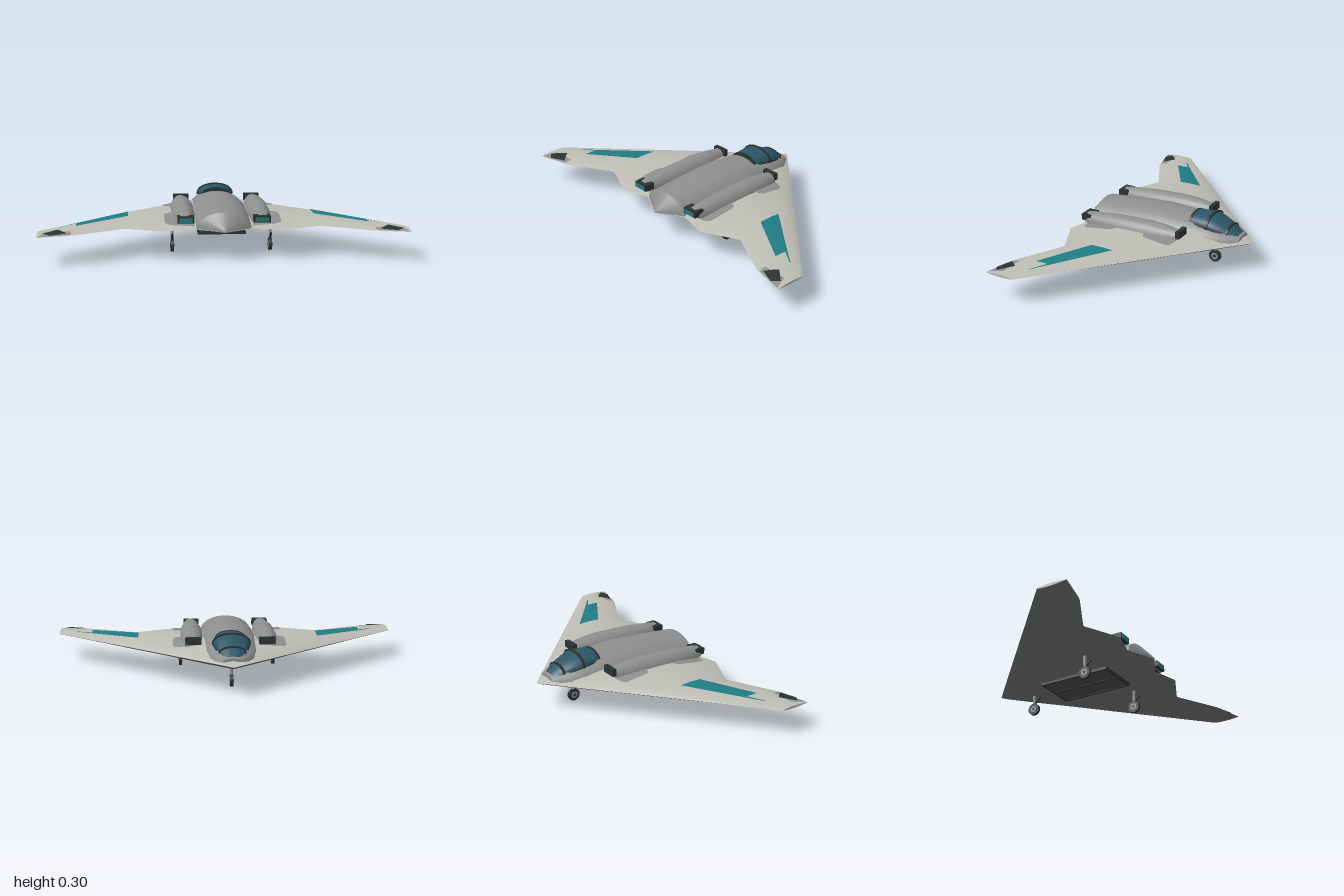
import * as THREE from 'three';
import { toCreasedNormals } from 'three/addons/utils/BufferGeometryUtils.js';

const mat = (name, color, side = THREE.DoubleSide) => {
  const m = new THREE.MeshStandardMaterial({ color, side });
  m.name = name;
  return m;
};

// Surface through rows of points; every row has the same number of points
function loft(rows, flip = false, crease = 0.6) {
  const n = rows[0].length, index = [];
  for (let i = 0; i < rows.length - 1; i++) {
    for (let j = 0; j < n - 1; j++) {
      const a = i * n + j, b = a + 1, c = a + n, d = c + 1;
      index.push(...(flip ? [a, d, b, a, c, d] : [a, b, d, a, d, c]));
    }
  }
  const g = new THREE.BufferGeometry();
  g.setAttribute('position', new THREE.Float32BufferAttribute(rows.flat(2), 3));
  g.setIndex(index);
  return toCreasedNormals(g, crease);
}

// Arched body along z from [z, halfWidth, baseY, topY] sections, closed at both ends
function arch(sections, power = 1, capped = true) {
  const rows = sections.map(([z, w, b, t]) => Array.from({ length: 19 }, (_, j) => {
    const a = Math.PI * j / 18;
    return [Math.cos(a) * w, b + (t - b) * Math.pow(Math.max(0, Math.sin(a)), power), z];
  }));
  if (capped) {
    const point = ([z, , b]) => Array.from({ length: 19 }, () => [0, b, z]);
    rows.unshift(point(sections[0]));
    rows.push(point(sections[sections.length - 1]));
  }
  return loft(rows);
}

// Wing stations: x, leading z, trailing z, middle y, height above, depth below
const stations = [
  [0, -0.55, 0.49, 0.166, 0.058, 0.053],
  [0.16, -0.403, 0.41, 0.166, 0.056, 0.047],
  [0.32, -0.256, 0.455, 0.165, 0.049, 0.037],
  [0.535, -0.058, 0.355, 0.164, 0.036, 0.025],
  [0.8, 0.186, 0.495, 0.162, 0.02, 0.014],
  [1, 0.37, 0.545, 0.161, 0.008, 0.007],
];
const upper = t => Math.pow(t, 0.8) * Math.pow(1 - t, 0.9) / 0.309;
const lower = t => Math.pow(t, 0.7) * Math.pow(1 - t, 1.1) / 0.3;

// Height of the upper wing skin at a point
function topY(x, z) {
  const ax = Math.min(Math.abs(x), 0.9999);
  const i = stations.findIndex(s => s[0] > ax) - 1, p = stations[i], q = stations[i + 1];
  const k = (ax - p[0]) / (q[0] - p[0]);
  const [, le, te, mid, h] = p.map((v, n) => v + (q[n] - v) * k);
  return mid + h * upper(Math.min(1, Math.max(0, (z - le) / (te - le))));
}

// Thin painted panel lying on the wing; place(u, v) gives [x, z]
function patch(place, side, lift) {
  const rows = [];
  for (let i = 0; i <= 14; i++) {
    rows.push(Array.from({ length: 15 }, (_, j) => {
      const [x, z] = place(i / 14, j / 14);
      return [side * x, topY(x, z) + lift, z];
    }));
  }
  return loft(rows, side < 0);
}
const quad = (a, b, c, d) => (u, v) => [0, 1].map(k =>
  (a[k] * (1 - v) + b[k] * v) * (1 - u) + (d[k] * (1 - v) + c[k] * v) * u);

export function createModel() {
  const model = new THREE.Group();
  const skin = mat('pale skin', 0xbcbcb4);
  const grey = mat('body grey', 0x8d8f8e);
  const belly = mat('belly grey', 0x6e6f6f);
  const dark = mat('dark trim', 0x2b3232);
  const hatchGrey = mat('hatch grey', 0x48494c);
  const teal = mat('teal', 0x1f7c82);
  const glass = mat('canopy glass', 0x2b5566);

  const add = (name, geometry, material, x = 0, y = 0, z = 0, parent = model) => {
    const m = new THREE.Mesh(geometry, material);
    m.name = name;
    m.position.set(x, y, z);
    parent.add(m);
    return m;
  };
  const box = (w, h, d) => new THREE.BoxGeometry(w, h, d);
  const rod = (from, to, r) => new THREE.TubeGeometry(
    new THREE.LineCurve3(new THREE.Vector3(...from), new THREE.Vector3(...to)), 1, r, 10);

  // Flying wing, upper and lower skins
  const span = [...stations.slice(1).reverse().map(([x, ...r]) => [-x, ...r]), ...stations];
  const skinRows = s => span.map(([x, le, te, mid, h, d]) => Array.from({ length: 25 }, (_, j) => {
    const t = j / 24;
    return [x, s > 0 ? mid + h * upper(t) : mid - d * lower(t), le + (te - le) * t];
  }));
  const top = skinRows(1), bottom = skinRows(-1);
  add('wingTop', loft(top), skin);
  add('wingUnderside', loft(bottom, true), belly);
  for (const i of [0, top.length - 1]) add('wingTip', loft([top[i], bottom[i]], i === 0), skin);

  // Centre body with pointed tail
  add('centreBody', arch([
    [-0.48, 0.06, 0.18, 0.2], [-0.4, 0.12, 0.17, 0.237], [-0.3, 0.145, 0.17, 0.258],
    [-0.19, 0.155, 0.17, 0.272], [0, 0.165, 0.17, 0.287], [0.22, 0.16, 0.168, 0.273],
    [0.41, 0.15, 0.165, 0.256], [0.49, 0.002, 0.16, 0.167],
  ]), grey);

  // Canopy, hoops and sills
  const canopy = [[-0.465, 0.045, 0.188, 0.21], [-0.41, 0.075, 0.205, 0.249],
    [-0.3, 0.103, 0.235, 0.296], [-0.19, 0.085, 0.24, 0.289]];
  add('canopy', arch(canopy, 0.8), glass);
  for (const [i, g] of [[1, 0.003], [2, 0.005], [3, 0.003]]) {
    const [z, w, b, t] = canopy[i];
    add('canopyHoop', arch([[z - 0.007, w + g, b, t + g], [z + 0.007, w + g, b, t + g]], 0.8), dark);
  }

  for (const s of [-1, 1]) {
    for (let i = 0; i < 3; i++) {
      const [p, q] = [canopy[i], canopy[i + 1]].map(([z, w, b]) => [s * w, b + 0.006, z]);
      add('canopySill', rod(p, q, 0.005), dark);
    }

    // Engine pod with intake and exhaust
    add('enginePod', arch([
      [-0.19, 0.042, 0.19, 0.25], [-0.1, 0.06, 0.18, 0.262], [0, 0.069, 0.18, 0.268],
      [0.2, 0.066, 0.18, 0.262], [0.36, 0.048, 0.185, 0.247], [0.4, 0.04, 0.195, 0.24],
    ], 0.8), grey, s * 0.212);
    add('intake', box(0.09, 0.04, 0.025), dark, s * 0.207, 0.234, -0.197);
    add('exhaust', box(0.09, 0.036, 0.06), dark, s * 0.207, 0.219, 0.391);
    add('exhaustGlow', box(0.07, 0.022, 0.006), teal, s * 0.207, 0.217, 0.423);

    // Grey fairings beside the pods and at the tips
    for (const [z0, z1] of [[-0.19, 0], [0.17, 0.385]]) {
      add('podFairing', patch((u, v) => {
        const k = 2 * v - 1;
        return [0.16 + u * (0.11 + 0.05 * Math.sqrt(1 - k ** 6)), z0 + (z1 - z0) * v];
      }, s, 0.004), grey);
    }
    add('tipFairing', patch(quad([0.82, 0.455], [0.82, 0.498], [0.99, 0.54], [0.96, 0.46]), s, 0.002), grey);
    add('tipPanel', patch(quad([0.845, 0.485], [0.93, 0.43], [0.965, 0.495], [0.93, 0.525])
      && quad([0.895, 0.43], [0.845, 0.49].map((v, i) => v - [0.055, 0][i] + 0.05 * (1 - i)), [0.93, 0.525], [0.97, 0.495]),
      s, 0.006), dark);

    // Teal wing panel with its thin outer stripe
    add('wingPanel', patch(quad([0.52, 0.055], [0.52, 0.19], [0.8, 0.36], [0.8, 0.274]), s, 0.004), teal);
    add('wingStripe', patch(quad([0.8, 0.274], [0.8, 0.29], [0.89, 0.347], [0.89, 0.342]), s, 0.004), teal);
  }

  // Belly hatch with frame bars
  add('hatch', box(0.26, 0.012, 0.425), hatchGrey, 0, 0.112, 0.042);
  for (const x of [-0.127, 0, 0.127]) add('hatchBar', box(0.012, 0.016, 0.43), dark, x, 0.112, 0.042);
  for (const z of [-0.167, 0.251]) add('hatchBar', box(0.266, 0.016, 0.012), dark, 0, 0.112, z);

  // Landing gear
  for (const [x, z] of [[0, -0.31], [-0.275, 0.205], [0.275, 0.205]]) {
    const gear = new THREE.Group();
    gear.name = 'landingGear';
    gear.position.set(x, 0, z);
    model.add(gear);
    for (const [name, r, w, m] of [['tyre', 0.035, 0.018, dark], ['hub', 0.02, 0.021, grey], ['axle', 0.009, 0.024, dark]]) {
      add(name, new THREE.CylinderGeometry(r, r, w, 24), m, 0, 0.035, 0, gear).rotation.z = Math.PI / 2;
    }
    add('strut', new THREE.CylinderGeometry(0.009, 0.009, 0.095, 12), grey, 0, 0.0925, 0, gear);
    add('brace', rod([0, 0.068, 0.003], [0, 0.104, 0.04], 0.006), dark, 0, 0, 0, gear);
  }
  return model;
}
